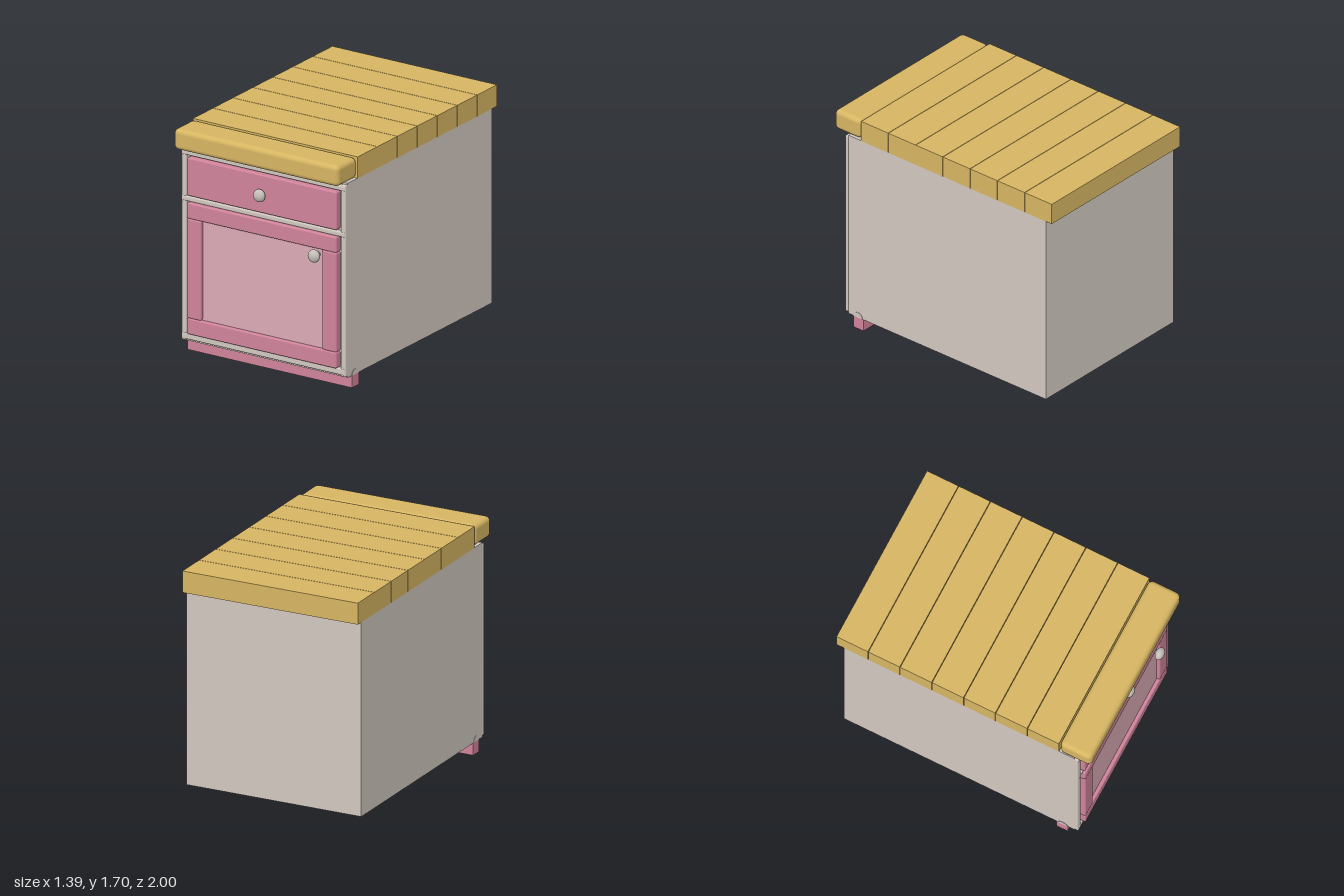
import * as THREE from 'three';
import { RoundedBoxGeometry } from 'three/addons/geometries/RoundedBoxGeometry.js';

const flat = (name, color) => {
  const m = new THREE.MeshStandardMaterial({ color });
  m.name = name;
  return m;
};

export function createModel() {
  const group = new THREE.Group();
  group.name = 'kitchenCabinet';
  const wood = flat('goldenWood', 0xd6b562);
  const paint = flat('warmGreyPaint', 0xd0c7bf);
  const pink = flat('rosePaint', 0xcf839a);
  const palePink = flat('paleRosePaint', 0xdbaab5);
  const metal = flat('knobGrey', 0xc6c0b9);

  const add = (name, geometry, material, x = 0, y = 0, z = 0) => {
    const mesh = new THREE.Mesh(geometry, material);
    mesh.name = name;
    mesh.position.set(x, y, z);
    group.add(mesh);
    return mesh;
  };
  // Block given by its limits on each axis, with optional rounded edges
  const block = (name, material, [x0, x1], [y0, y1], [z0, z1], round = 0) => {
    const size = [x1 - x0, y1 - y0, z1 - z0];
    const geometry = round
      ? new RoundedBoxGeometry(...size, 3, round)
      : new THREE.BoxGeometry(...size);
    return add(name, geometry, material, (x0 + x1) / 2, (y0 + y1) / 2, (z0 + z1) / 2);
  };

  // Carcass and toe kick
  block('carcass', paint, [-0.69, 0.69], [0.09, 1.54], [-0.94, 0.87]);
  block('toeKick', pink, [-0.692, 0.692], [0, 0.092], [0.73, 0.82]);

  // Worktop: a rounded front plank and seven square ones
  block('frontPlank', wood, [-0.693, 0.693], [1.545, 1.7], [0.755, 1], 0.035);
  for (let i = 0; i < 7; i++) {
    const z = 0.75 - i * 0.25;
    block('plank', wood, [-0.693, 0.693], [1.54, 1.7], [z - 0.246, z]);
  }

  // Face frame
  for (const s of [-1, 1]) {
    const x = [0.65 * s, 0.692 * s].sort((a, b) => a - b);
    block('frameStile', paint, x, [0.1, 1.53], [0.868, 0.9], 0.01);
    // Toe kick pegs showing at the sides
    const peg = add('toeKickPeg', new THREE.CylinderGeometry(0.04, 0.04, 0.008, 20, 1, false, 0, Math.PI), paint, 0.689 * s, 0.09, 0.78);
    peg.rotation.z = Math.PI / 2;
  }
  for (const [y0, y1] of [[1.483, 1.525], [1.14, 1.18], [0.11, 0.16]]) {
    block('frameRail', paint, [-0.69, 0.69], [y0, y1], [0.865, 0.903], 0.012);
  }

  // Drawer front
  block('drawerFront', pink, [-0.63, 0.63], [1.19, 1.475], [0.865, 0.922], 0.012);

  // Door with rails, stiles and a recessed panel
  block('doorTopRail', pink, [-0.63, 0.63], [1.022, 1.14], [0.865, 0.926], 0.012);
  block('doorBottomRail', pink, [-0.63, 0.63], [0.16, 0.28], [0.865, 0.926], 0.012);
  for (const s of [-1, 1]) {
    const x = [0.51 * s, 0.63 * s].sort((a, b) => a - b);
    block('doorStile', pink, x, [0.28, 1.022], [0.865, 0.926], 0.012);
  }
  block('doorPanel', palePink, [-0.52, 0.52], [0.27, 1.03], [0.865, 0.9]);

  // Knobs with short stems
  for (const [x, y] of [[0, 1.33], [0.46, 0.975]]) {
    const knob = add('knob', new THREE.SphereGeometry(0.047, 24, 16), metal, x, y, 0.952);
    knob.scale.z = 0.68;
    const stem = add('knobStem', new THREE.CylinderGeometry(0.016, 0.022, 0.05, 16), metal, x, y, 0.915);
    stem.rotation.x = Math.PI / 2;
  }
  return group;
}
